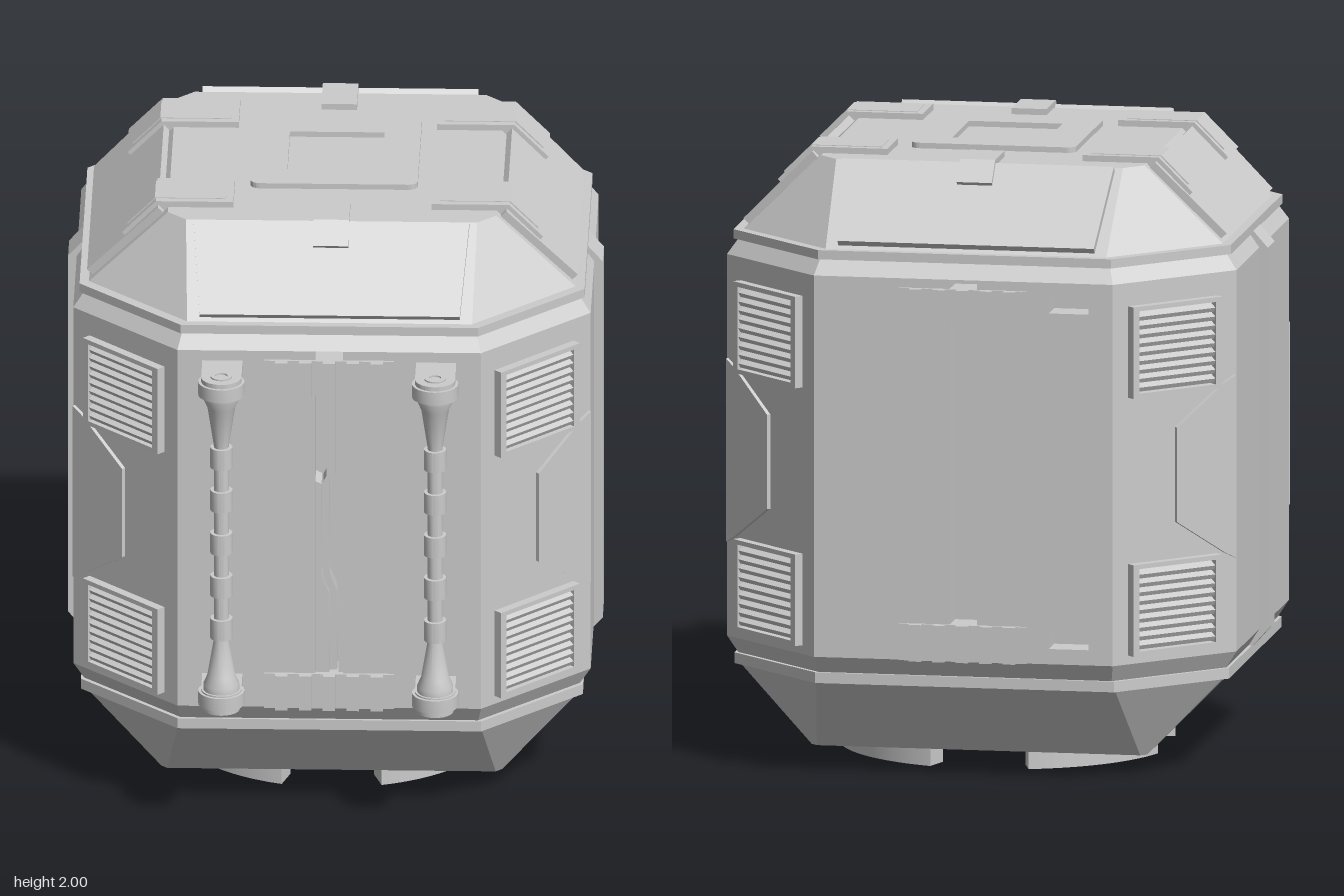
import * as THREE from 'three';
import { toCreasedNormals } from 'three/addons/utils/BufferGeometryUtils.js';

const grey = new THREE.MeshStandardMaterial({ color: 0xcccccc });
const DEPTH = 0.98; // the body is slightly shallower than wide

function add(parent, name, geo, x = 0, y = 0, z = 0) {
  const m = new THREE.Mesh(toCreasedNormals(geo, 0.5), grey);
  m.name = name;
  m.position.set(x, y, z);
  parent.add(m);
  return m;
}
function addGroup(parent, name, rotY = 0) {
  const g = new THREE.Group();
  g.name = name;
  g.rotation.y = rotY;
  parent.add(g);
  return g;
}
const box = (w, h, d) => new THREE.BoxGeometry(w, h, d);
const poly = (pts) => new THREE.Shape(pts.map((p) => new THREE.Vector2(...p)));
const rectPath = (x0, y0, x1, y1) => poly([[x0, y0], [x1, y0], [x1, y1], [x0, y1]]);
const extrude = (shape, depth) =>
  new THREE.ExtrudeGeometry(shape, { depth, bevelEnabled: false, curveSegments: 12 });

// Eight-sided loft through rings of [y, half width, half flat side], closed at both ends
function loft(rings) {
  const pos = [], idx = [];
  for (const [y, h, c] of rings)
    for (const [x, z] of [[-c, h], [c, h], [h, c], [h, -c], [c, -h], [-c, -h], [-h, -c], [-h, c]])
      pos.push(x, y, z * DEPTH);
  const last = (rings.length - 1) * 8, bottom = rings.length * 8, top = bottom + 1;
  pos.push(0, rings[0][0], 0, 0, rings[rings.length - 1][0], 0);
  for (let j = 0; j < 8; j++) {
    const k = (j + 1) % 8;
    for (let i = 0; i < last; i += 8) idx.push(i + j, i + k, i + 8 + k, i + j, i + 8 + k, i + 8 + j);
    idx.push(bottom, k, j, top, last + j, last + k);
  }
  const g = new THREE.BufferGeometry();
  g.setAttribute('position', new THREE.Float32BufferAttribute(pos, 3));
  g.setIndex(idx);
  return g;
}

// Strap bent over the roof edge, extending outward along +x
function strap(inner, tip, width) {
  const drop = tip - 0.57;
  const g = extrude(poly([[inner, 1.95], [inner, 2], [0.57, 2], [tip, 2 - drop],
    [tip - 0.04, 1.96 - drop], [0.53, 1.95]]), width);
  return g.translate(0, 0, -width / 2);
}

function buildShell(g) {
  add(g, 'lowerHull', loft([[0.13, 0.5, 0.48], [0.06, 0.5, 0.48], [0.06, 0.55, 0.53], [0.31, 0.79, 0.49],
    [0.31, 0.81, 0.49], [0.345, 0.81, 0.49], [0.345, 0.8, 0.48], [0.4, 0.835, 0.49]]));
  add(g, 'upperHull', loft([[1.65, 0.835, 0.49], [1.7, 0.8, 0.475], [1.7, 0.815, 0.48], [1.73, 0.815, 0.48],
    [1.73, 0.785, 0.46], [1.98, 0.53, 0.47]]));
  // Wall core, set back at front and back where the wall panels sit
  const h = 0.835, f = h * DEPTH, c = 0.49, cz = c * DEPTH, r = f - 0.1;
  const half = [[h, cz], [c, f], [0.48, f], [0.48, r], [-0.48, r], [-0.48, f], [-c, f], [-h, cz]];
  const core = extrude(poly([...half, ...half.map(([x, y]) => [-x, -y])]), 1.25);
  add(g, 'wallCore', core.rotateX(-Math.PI / 2), 0, 0.4, 0);

  for (const k of [0, 1]) {
    const wall = addGroup(g, k ? 'backWall' : 'frontWall', k * Math.PI);
    // Panels on both sides of a deep channel, each with two sockets
    for (const s of [-1, 1]) {
      const panel = rectPath(s * 0.045, 0.4, s * 0.48, 1.65);
      for (const y of [0.45, 1.55]) panel.holes.push(rectPath(s * 0.28, y, s * 0.41, y + 0.065));
      add(wall, 'wallPanel', extrude(panel, 0.1), 0, 0, r);
    }
    // Ribbed blocks above and below the channel
    for (const y of [0.46, 1.56]) {
      add(wall, 'ribPlate', box(0.42, 0.12, 0.11), 0, y, f - 0.045);
      for (let i = -2; i <= 2; i++) add(wall, 'rib', box(0.04, 0.12, 0.03), i * 0.077, y, f + 0.015);
    }
  }
  // Interlocking strips in the front channel
  const left = [[-0.045, 0.52], [0, 0.52], [0, 0.8], [-0.025, 0.85], [-0.025, 1.18], [-0.045, 1.19]];
  const middle = [[-0.005, 0.52], [0.025, 0.52], [0.025, 0.8], [0, 0.85], [0, 1.18], [0.02, 1.2],
    [0.02, 1.5], [-0.01, 1.5], [-0.01, 1.2], [-0.02, 1.18], [-0.02, 0.85], [-0.005, 0.8]];
  add(g, 'channelStrip', extrude(poly(left), 0.09), 0, 0, r);
  add(g, 'channelStrip', extrude(poly(middle), 0.07), 0, 0, r);
  add(g, 'channelStrip', box(0.015, 0.98, 0.09), 0.0375, 1.01, r + 0.045);

  // Vertical band on each side
  const band = poly([[0.78, 0.34], [0.81, 0.34], [0.863, 0.4], [0.863, 1.65], [0.81, 1.71], [0.78, 1.71]]);
  for (const k of [0, 1])
    add(g, 'sideBand', extrude(band, 0.125).translate(0, 0, -0.0625)).rotation.y = k * Math.PI;
}

function buildCorners(g) {
  for (let k = 0; k < 4; k++) {
    const corner = addGroup(g, 'cornerPanel', Math.PI / 4 + k * Math.PI / 2);
    const s = k % 2 ? -1 : 1, d = 0.929;
    // Tapered plate joining the side wall
    add(corner, 'taperedPlate', extrude(poly([[s * 0.242, 0.71], [s * 0.242, 1.31], [s * 0.2, 1.29],
      [s * 0.01, 1.16], [s * 0.01, 0.85], [s * 0.2, 0.73]]), 0.022), 0, 0, d - 0.01);
    // Louvred vents
    for (const y of [0.58, 1.425]) {
      const frame = rectPath(-0.175, -0.15, 0.175, 0.15);
      frame.holes.push(rectPath(-0.15, -0.135, 0.15, 0.135));
      add(corner, 'ventFrame', extrude(frame, 0.03), 0, y, d);
      for (let i = -4; i <= 4; i++)
        add(corner, 'louvre', box(0.31, 0.016, 0.03), 0, y + i * 0.029, d + 0.01).rotation.x = 0.5;
    }
  }
}

function buildRoof(g) {
  const slope = poly([[-0.42, 0.015], [0.42, 0.015], [0.445, 0.34], [-0.445, 0.34]]);
  for (let k = 0; k < 4; k++) {
    const side = addGroup(g, 'roofSide', k * Math.PI / 2);
    const out = k % 2 ? 0.785 : 0.785 * DEPTH;
    add(side, 'slopePanel', extrude(slope, 0.025), 0, 1.73, out).rotation.x = -Math.PI / 4;
    if (k % 2) continue;
    // Wide straps over the left and right edges, narrow clips at front and back
    for (const z of [-0.325, 0.325]) {
      add(side, 'roofStrap', strap(0.32, 0.68, 0.19), 0, 0, z);
      add(side, 'strapLip', strap(0.34, 0.66, 0.14).translate(0.004, 0.003, 0), 0, -0.001, z);
    }
    const clip = addGroup(side, 'roofClip', Math.PI / 2);
    add(clip, 'clip', strap(0.4, 0.635, 0.115), -0.015, 0, 0);
  }
  // Hatch with a sunken square
  const a = 0.27, r = 0.03;
  const hatch = new THREE.Shape();
  [[1, 1], [-1, 1], [-1, -1], [1, -1]].forEach(([x, y], i) =>
    hatch.absarc(x * (a - r), y * (a - r), r, i * Math.PI / 2, (i + 1) * Math.PI / 2));
  hatch.holes.push(rectPath(-0.153, -0.153, 0.153, 0.153));
  add(g, 'hatchFrame', extrude(hatch, 0.025).rotateX(-Math.PI / 2), 0, 1.973, -0.01);
}

function buildPoles(g) {
  // Beaded pole profile: flanges, flared ends and five collars
  const pts = [[0.02, 0.44], [0.06, 0.44], [0.06, 0.46], [0.075, 0.46], [0.075, 0.505], [0.058, 0.505],
    [0.058, 0.53], [0.045, 0.56], [0.025, 0.68]];
  for (let i = 0; i < 5; i++) {
    const y = 0.725 + i * 0.15;
    pts.push([0.024, y - 0.035], [0.036, y - 0.035], [0.036, y + 0.035], [0.024, y + 0.035]);
  }
  pts.push([0.025, 1.37], [0.045, 1.5], [0.058, 1.53], [0.058, 1.545], [0.075, 1.545], [0.075, 1.59],
    [0.06, 1.59], [0.06, 1.61], [0.035, 1.61], [0.035, 1.625], [0.02, 1.625], [0.02, 1.57], [0, 1.57]);
  const profile = [[0, 0.44], ...pts].map(([x, y]) => new THREE.Vector2(x, y - (y > 1.6 ? 0.015 : 0)));
  // Round-nosed bracket reaching from the wall socket
  const bracket = new THREE.Shape();
  bracket.moveTo(0.065, 0.75);
  bracket.lineTo(0.065, 0.93);
  bracket.absarc(0, 0.93, 0.065, 0, Math.PI);
  bracket.lineTo(-0.065, 0.75);
  for (const s of [-1, 1]) {
    const pole = addGroup(g, s > 0 ? 'leftPole' : 'rightPole');
    pole.position.x = s * 0.345;
    add(pole, 'rod', new THREE.LatheGeometry(profile, 24), 0, 0, 0.93);
    for (const y of [0.51, 1.605])
      add(pole, 'bracket', extrude(bracket, 0.055).rotateX(Math.PI / 2), 0, y, 0);
  }
}

function buildUnderside(g) {
  // Curved feet, one under each corner
  const a0 = 0.3, a1 = Math.PI / 2 - a0;
  const arc = new THREE.Shape();
  arc.absarc(0, 0, 0.545, a0, a1, false);
  arc.absarc(0, 0, 0.455, a1, a0, true);
  for (let k = 0; k < 4; k++)
    add(g, 'foot', extrude(arc, 0.14).rotateX(-Math.PI / 2)).rotation.y = k * Math.PI / 2;
  // Centre plate and small grilles
  add(g, 'basePlate', box(0.4, 0.03, 0.4), 0, 0.12, 0);
  for (const s of [-1, 1])
    for (let i = 0; i < 3; i++) add(g, 'baseGrille', box(0.03, 0.04, 0.14), s * (0.3 + i * 0.05), 0.115, 0);
}

export function createModel() {
  const model = new THREE.Group();
  model.name = 'container';
  const g = addGroup(model, 'containerBody');
  g.position.z = -0.082;
  buildShell(g);
  buildCorners(g);
  buildRoof(g);
  buildPoles(g);
  buildUnderside(g);
  return model;
}
